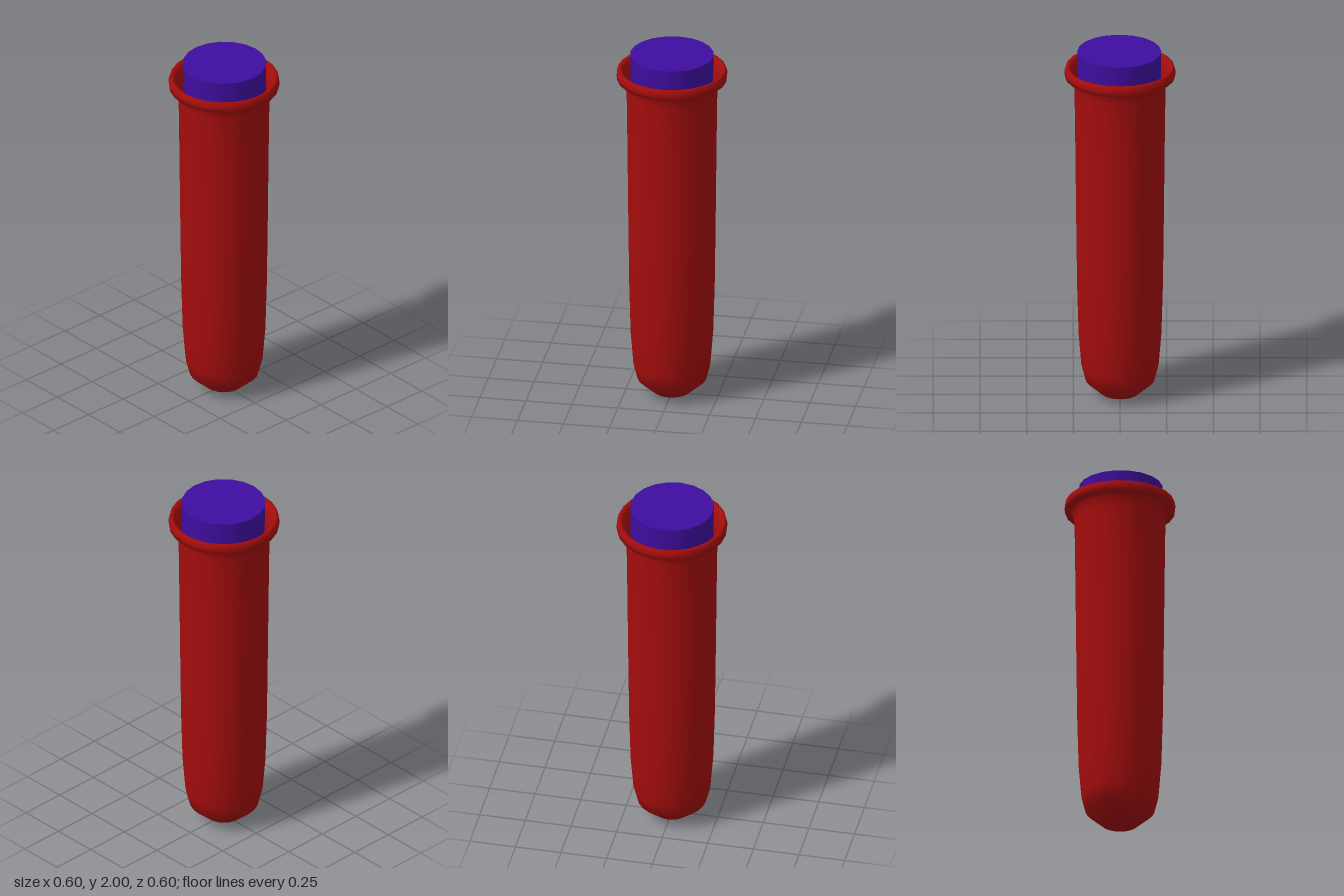
import * as THREE from 'three';

const toPoints = (list) => list.map(([r, y]) => new THREE.Vector2(r, y));

export function createModel() {
  const group = new THREE.Group();
  const red = new THREE.MeshStandardMaterial({ color: 0xa50d0d, side: THREE.DoubleSide });
  const purple = new THREE.MeshStandardMaterial({ color: 0x3f0d9f });

  // Tube: rounded bottom, slightly widening wall, flared rim, then back down inside
  const tubeProfile = toPoints([
    [0, 0], [0.1, 0.015], [0.185, 0.09], [0.207, 0.175], [0.222, 0.36],
    [0.23, 0.65], [0.235, 1.05], [0.24, 1.5], [0.244, 1.79],
    [0.252, 1.84], [0.268, 1.855], [0.295, 1.857], [0.298, 1.885], [0.292, 1.91],
    [0.28, 1.915], [0.266, 1.905], [0.25, 1.87], [0.24, 1.8], [0.235, 1.55],
  ]);
  const tube = new THREE.Mesh(new THREE.LatheGeometry(tubeProfile, 24), red);
  tube.name = 'tube';
  group.add(tube);

  // Filling: long plug standing a little above the rim, set slightly off centre
  const bottom = 0.3;
  const filling = new THREE.Mesh(
    new THREE.CylinderGeometry(0.225, 0.205, 2 - bottom, 20), purple);
  filling.position.set(0.004, (2 + bottom) / 2, 0);
  filling.name = 'filling';
  group.add(filling);

  return group;
}
